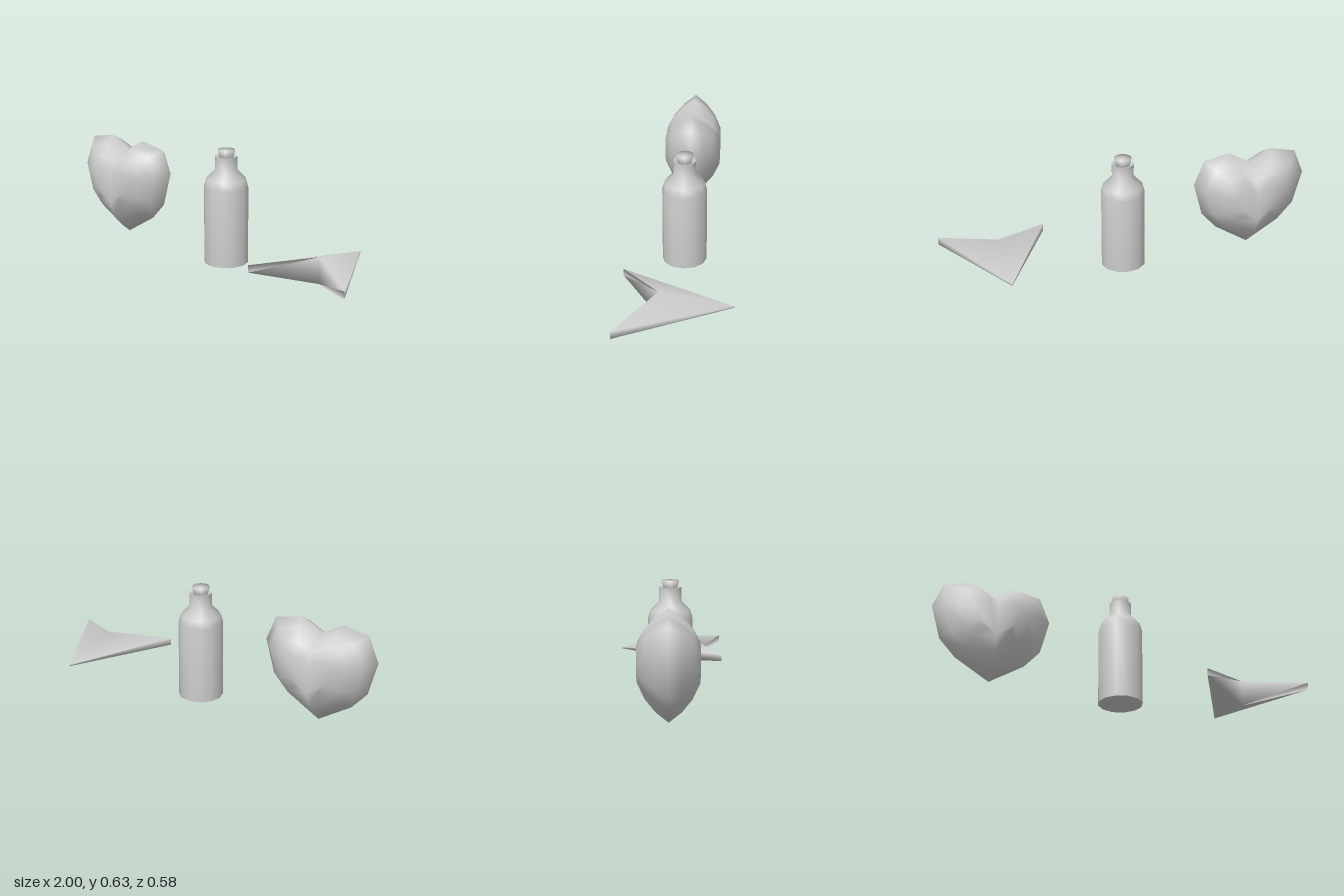
import * as THREE from 'three';
import { toCreasedNormals } from 'three/addons/utils/BufferGeometryUtils.js';

const makeMaterial = () => new THREE.MeshStandardMaterial({ color: 0xcccccc });

function addMesh(parent, name, geometry, x) {
  const mesh = new THREE.Mesh(geometry, makeMaterial());
  mesh.name = name;
  mesh.position.x = x;
  parent.add(mesh);
}

// Joins equal-length rings of points into a closed solid; caps fan out from point 0.
function loft(rings) {
  const n = rings[0].length, last = (rings.length - 1) * n, index = [];
  for (let r = 0; r < rings.length - 1; r++) {
    for (let j = 0; j < n; j++) {
      const a = r * n + j, b = r * n + (j + 1) % n;
      index.push(a, b, b + n, a, b + n, a + n);
    }
  }
  for (let j = 1; j < n - 1; j++) {
    index.push(0, j + 1, j, last, last + j, last + j + 1);
  }
  const geometry = new THREE.BufferGeometry();
  geometry.setAttribute('position', new THREE.Float32BufferAttribute(rings.flat(2), 3));
  geometry.setIndex(index);
  geometry.computeVertexNormals();
  return geometry;
}

function lathe(profile) {
  return new THREE.LatheGeometry(profile.map(([r, y]) => new THREE.Vector2(r, y)), 12);
}

// Heart: one outline, shrunk towards its middle as it bulges forward and back.
function heartGeometry() {
  const half = [[0.183, 0.147], [0.268, 0.24], [0.317, 0.42], [0.262, 0.555], [0.118, 0.585]];
  const outline = [[0, 0.035], ...half, [0, 0.52], ...half.map(([x, y]) => [-x, y]).reverse()];
  const layers = [[-0.155, 0.36], [-0.117, 0.62], [-0.065, 0.83], [0, 1],
    [0.065, 0.83], [0.117, 0.62], [0.155, 0.36]];
  const midY = 0.345;
  return loft(layers.map(([z, s]) => outline.map(([x, y]) => [x * s, midY + (y - midY) * s, z])));
}

// Arrowhead: thin at the tip and tails, thickest at the notch.
function arrowGeometry() {
  const outline = [[0, 0.083, 0.072], [0.292, 0.29, 0.02], [0, -0.293, 0.004], [-0.292, 0.29, 0.02]];
  return loft([-1, 1].map(side => outline.map(([x, z, h]) => [x, 0.132 + side * h, z])));
}

export function createModel() {
  const model = new THREE.Group();
  model.name = 'pickups';

  addMesh(model, 'heart', heartGeometry(), -0.683);
  addMesh(model, 'arrowhead', arrowGeometry(), 0.707);

  // Bottle with a stopper pushed into its neck
  const bottle = new THREE.Group();
  bottle.name = 'bottle';
  bottle.position.x = 0.035;
  model.add(bottle);
  const glass = lathe([[0, 0], [0.085, 0], [0.12, 0.01], [0.12, 0.43], [0.108, 0.475],
    [0.06, 0.525], [0.06, 0.6], [0.045, 0.597], [0.036, 0.58]]);
  addMesh(bottle, 'glass', toCreasedNormals(glass, 1.0), 0);
  addMesh(bottle, 'cork', lathe([[0, 0.575], [0.032, 0.575], [0.048, 0.634], [0, 0.634]]), 0);

  return model;
}
